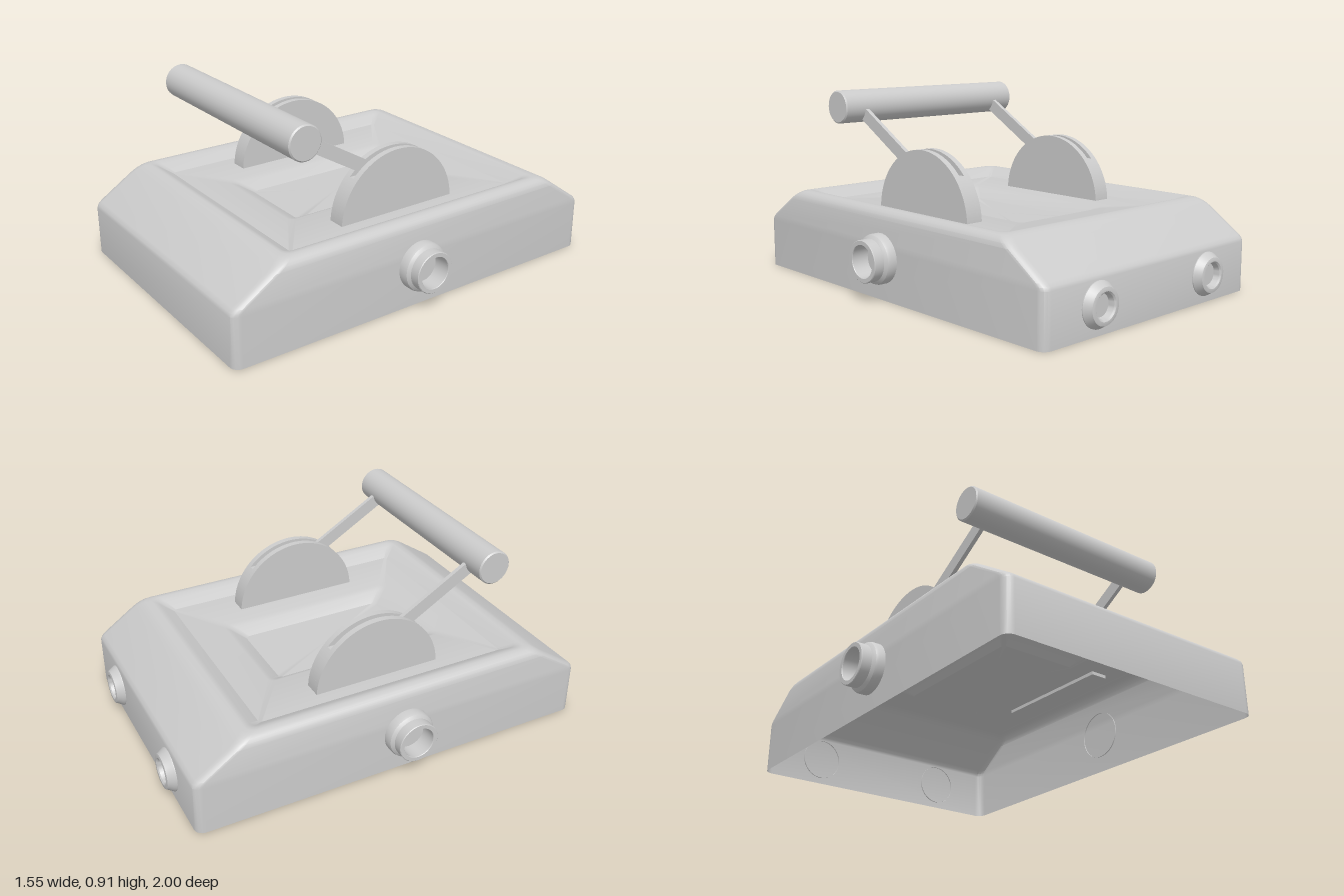
import * as THREE from 'three';
import { toCreasedNormals } from 'three/addons/utils/BufferGeometryUtils.js';

const material = new THREE.MeshStandardMaterial({ color: 0xcccccc, side: THREE.DoubleSide });

function add(parent, name, geometry, crease = 0.5) {
  const mesh = new THREE.Mesh(toCreasedNormals(geometry, crease), material);
  mesh.name = name;
  parent.add(mesh);
  return mesh;
}

// Open-bottomed housing: rounded rectangles [y, halfWidth, front z, back z, corner radius]
// run up the walls, over the rim and down into two stepped recesses.
function housingGeometry() {
  const rings = [
    [0, 0.67, 1, -0.96, 0.04],
    [0.235, 0.67, 1, -0.96, 0.04],
    [0.25, 0.67, 0.994, -0.954, 0.04],
    [0.264, 0.67, 0.979, -0.939, 0.04],
    [0.37, 0.67, 0.818, -0.785, 0.04],
    [0.388, 0.665, 0.791, -0.76, 0.04],
    [0.402, 0.655, 0.769, -0.738, 0.04],
    [0.411, 0.642, 0.75, -0.718, 0.04],
    [0.415, 0.625, 0.725, -0.69, 0.04],
    [0.415, 0.61, 0.715, -0.68, 0.04],
    [0.405, 0.585, 0.695, -0.658, 0.03],
    [0.37, 0.53, 0.64, -0.6, 0.015],
    [0.37, 0.275, 0.475, -0.435, 0.03],
    [0.36, 0.25, 0.445, -0.41, 0.03],
    [0.32, 0.2, 0.38, -0.35, 0.025],
  ];
  const steps = 4, n = 4 * (steps + 1);
  const pos = [], index = [];
  for (const [y, w, front, back, r] of rings) {
    for (let c = 0; c < 4; c++) {
      const cx = (c === 0 || c === 3 ? 1 : -1) * (w - r);
      const cz = c < 2 ? front - r : back + r;
      for (let k = 0; k <= steps; k++) {
        const a = (c + k / steps) * Math.PI / 2;
        pos.push(cx + r * Math.cos(a), y, cz + r * Math.sin(a));
      }
    }
  }
  for (let j = 0; j < rings.length - 1; j++) {
    for (let i = 0; i < n; i++) {
      const a = j * n + i, b = j * n + (i + 1) % n;
      index.push(a, a + n, b, b, a + n, b + n);
    }
  }
  // floor of the inner recess
  const centre = pos.length / 3, last = (rings.length - 1) * n;
  pos.push(0, 0.32, 0.015);
  for (let i = 0; i < n; i++) index.push(centre, last + (i + 1) % n, last + i);
  const g = new THREE.BufferGeometry();
  g.setAttribute('position', new THREE.Float32BufferAttribute(pos, 3));
  g.setIndex(index);
  return g;
}

const lathe = (points) =>
  new THREE.LatheGeometry(points.map(([r, y]) => new THREE.Vector2(r, y)), 40);

// Half disc in the z-y plane, optionally cut flat at a height above its centre,
// extruded along x and centred on x = 0.
function halfDisc(radius, thickness, cut = radius) {
  const shape = new THREE.Shape();
  const a = Math.asin(Math.min(1, cut / radius));
  shape.moveTo(-radius, 0);
  shape.lineTo(radius, 0);
  shape.absarc(0, 0, radius, 0, a, false);
  shape.absarc(0, 0, radius, Math.PI - a, Math.PI, false);
  const g = new THREE.ExtrudeGeometry(shape, { depth: thickness, bevelEnabled: false, curveSegments: 32 });
  return g.translate(0, 0, -thickness / 2).rotateY(-Math.PI / 2);
}

export function createModel() {
  const model = new THREE.Group();
  model.name = 'leverPedal';

  add(model, 'housing', housingGeometry());

  const sideSocket = [[0.115, -0.005], [0.115, 0.032], [0.111, 0.044], [0.1, 0.054], [0.097, 0.056],
    [0.097, 0.102], [0.094, 0.105], [0.076, 0.105], [0.074, 0.102], [0.074, 0.02], [0, 0.02]];
  const rearSocket = [[0.1, -0.005], [0.1, 0.004], [0.094, 0.014], [0.084, 0.03], [0.08, 0.038],
    [0.074, 0.04], [0.062, 0.04], [0.055, 0.034], [0.05, 0.008], [0, 0.008]];

  const discX = 0.42, discY = 0.354, discZ = 0.018, radius = 0.311;
  const bar = new THREE.Vector2(0.562, 0.83);    // z, y of the grip
  const armEnd = new THREE.Vector2(0.09, 0.553); // z, y of the arm foot in the slot

  for (const s of [1, -1]) {
    const side = s > 0 ? 'left' : 'right';

    // round sockets on the side and rear walls
    const socket = add(model, side + 'SideSocket', lathe(sideSocket));
    socket.position.set(s * 0.67, 0.193, 0.055);
    socket.rotation.z = -s * Math.PI / 2;
    const rear = add(model, side + 'RearSocket', lathe(rearSocket));
    rear.position.set(s * 0.36, 0.13, -0.96);
    rear.rotation.x = -Math.PI / 2;

    // slotted half-disc pivot: two cheeks with a lower core between them
    const pivot = new THREE.Group();
    pivot.name = side + 'Pivot';
    pivot.position.set(s * discX, discY, discZ);
    for (const c of [1, -1]) {
      add(pivot, 'cheek', halfDisc(radius, 0.03)).position.x = c * 0.028;
    }
    add(pivot, 'slotCore', halfDisc(radius, 0.026, 0.212));
    model.add(pivot);

    // flat arm from the slot up to the grip
    const length = bar.distanceTo(armEnd);
    const arm = add(model, side + 'Arm', new THREE.BoxGeometry(0.02, 0.062, length));
    arm.position.set(s * discX, (bar.y + armEnd.y) / 2, (bar.x + armEnd.x) / 2);
    arm.rotation.x = -Math.atan2(bar.y - armEnd.y, bar.x - armEnd.x);
  }

  // grip bar with slightly eased ends
  const grip = add(model, 'grip', lathe([[0, -0.54], [0.074, -0.54], [0.08, -0.534],
    [0.08, 0.534], [0.074, 0.54], [0, 0.54]]));
  grip.rotation.z = Math.PI / 2;
  grip.position.set(0, bar.y, bar.x);

  return model;
}
